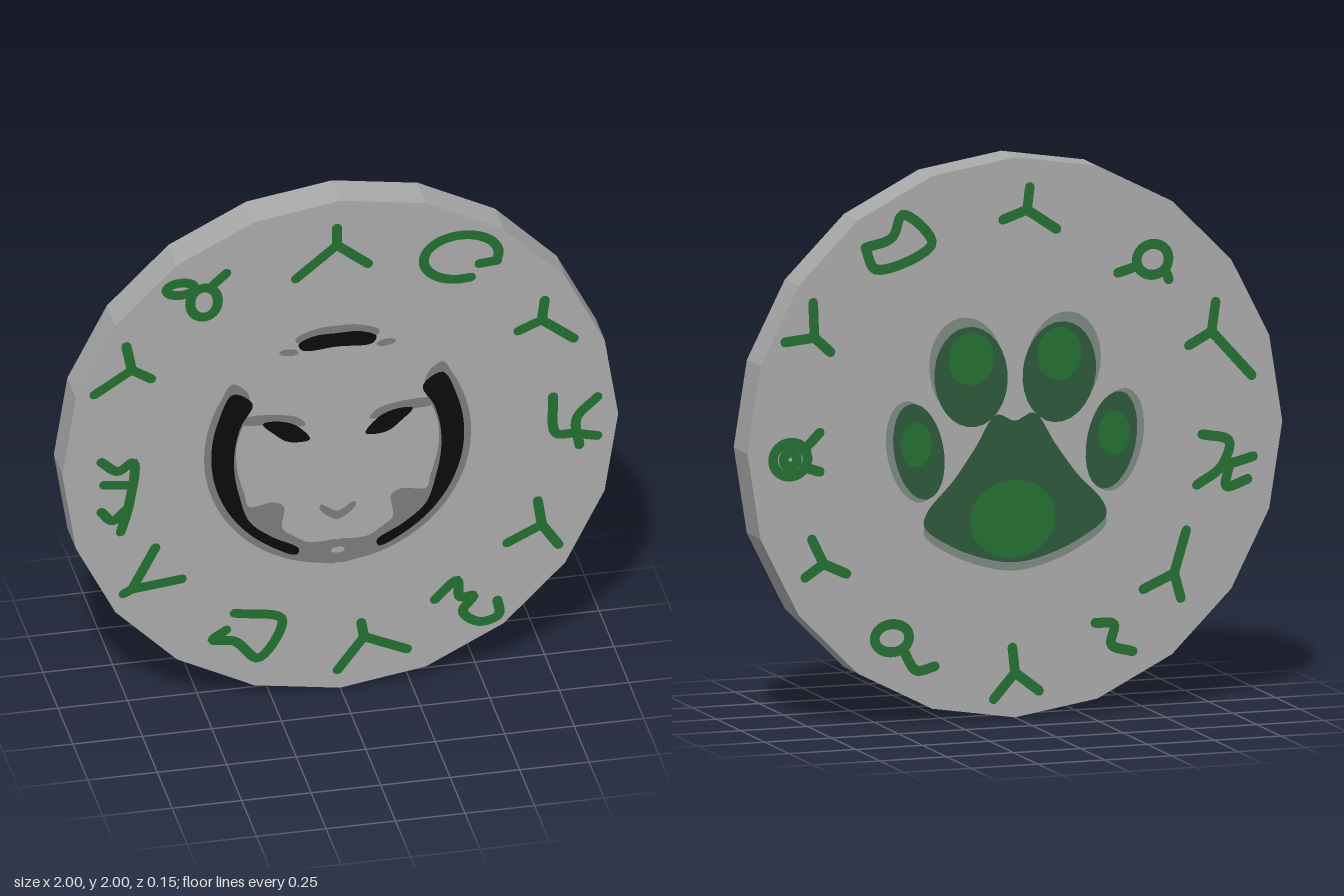
import * as THREE from 'three';
import { mergeGeometries } from 'three/addons/utils/BufferGeometryUtils.js';

const HALF = 0.0715; // half the thickness of the disc
const STROKE = 0.036; // width of the rim marks
const rad = THREE.MathUtils.degToRad;

const paint = (name, color) => {
  const m = new THREE.MeshStandardMaterial({ color, flatShading: true });
  m.name = name;
  return m;
};

// Points [x, y] smoothed into a curve
function smooth(pts, closed) {
  const v = pts.map(([x, y]) => new THREE.Vector3(x, y, 0));
  return new THREE.CatmullRomCurve3(v, closed, 'centripetal').getPoints(pts.length * 6);
}

// Outline mirrored about x = 0; the half outline starts and ends on that line
const flip = (pts) => pts.map(([x, y]) => [-x, y]);
const mirrored = (half) => half.concat(flip(half.slice(1, -1).reverse()));

// Ring sector with a round outer edge and a varying inner radius, one value per angle step
function sector(outer, start, step, inner) {
  const at = (r, i) => [r * Math.cos(rad(start + i * step)), r * Math.sin(rad(start + i * step))];
  return [...inner.map((r, i) => at(outer, i)), ...inner.map(at).reverse()];
}

// Flat filled plate
function plate(pts) {
  const s = smooth(pts, true).slice(0, -1).map((p) => new THREE.Vector2(p.x, p.y));
  return new THREE.ShapeGeometry(new THREE.Shape(s));
}

// Tilted oval plate
const oval = (x, y, rx, ry, tilt = 0) =>
  new THREE.CircleGeometry(1, 28).scale(rx, ry, 1).rotateZ(tilt).translate(x, y, 0);

// Flat ribbon with round ends along a path
function ribbon(pts) {
  const path = smooth(pts, false);
  const pos = [], index = [], r = STROKE / 2;
  path.forEach((p, i) => {
    const a = path[Math.max(i - 1, 0)], b = path[Math.min(i + 1, path.length - 1)];
    const d = b.clone().sub(a).normalize();
    pos.push(p.x - d.y * r, p.y + d.x * r, 0, p.x + d.y * r, p.y - d.x * r, 0);
    if (i) {
      const k = 2 * i;
      index.push(k - 2, k - 1, k, k, k - 1, k + 1);
    }
  });
  const g = new THREE.BufferGeometry();
  g.setAttribute('position', new THREE.Float32BufferAttribute(pos, 3));
  g.setIndex(index);
  g.computeVertexNormals();
  const ends = [path[0], path[path.length - 1]].map((p) => {
    const c = new THREE.CircleGeometry(r, 10).translate(p.x, p.y, 0);
    c.deleteAttribute('uv');
    return c;
  });
  return mergeGeometries([g, ...ends]);
}

// Stroke along an oval, angles in degrees
function arc(x, y, rx, ry, start = 0, sweep = 360) {
  return ribbon(Array.from({ length: 13 }, (_, i) => {
    const a = rad(start + (sweep * i) / 12);
    return [x + rx * Math.cos(a), y + ry * Math.sin(a)];
  }));
}

// Three-armed mark: a hub and three tips
const fork = (hub, ...tips) => mergeGeometries(tips.map((t) => ribbon([hub, t])));

export function createModel() {
  const stone = paint('stone grey', 0xaaaaaa);
  const shade = paint('dark grey', 0x7c7c7c);
  const black = paint('black', 0x0a0a0a);
  const green = paint('green', 0x237030);
  const deep = paint('deep green', 0x2b583a);
  const pale = paint('pale green grey', 0x7e8a82);

  const medallion = new THREE.Group();
  medallion.name = 'medallion';
  medallion.position.y = 1;
  const group = (name, parent) => {
    const g = new THREE.Group();
    g.name = name;
    parent.add(g);
    return g;
  };
  // Places a plate on a face; higher layers lie further out
  const add = (face, name, geometry, material, layer = 1) => {
    const mesh = new THREE.Mesh(geometry, material);
    mesh.name = name;
    mesh.position.z = HALF + layer * 0.0015;
    face.add(mesh);
  };
  const mark = (face, ...strokes) => add(face, 'rimMark', mergeGeometries(strokes), green);

  const disc = new THREE.Mesh(new THREE.CylinderGeometry(1, 1, HALF * 2, 20).rotateX(Math.PI / 2), stone);
  disc.name = 'disc';
  medallion.add(disc);
  const front = group('frontFace', medallion);
  const back = group('backFace', medallion);
  back.rotation.y = Math.PI;

  // Forked marks on the front rim
  mark(front, fork([-.012, .82], [-.012, .89], [-.16, .7], [.1, .73]));
  mark(front, fork([.725, .42], [.735, .5], [.64, .385], [.84, .33]));
  mark(front, fork([.725, -.42], [.71, -.32], [.6, -.48], [.785, -.51]));
  mark(front, fork([.085, -.8], [.075, -.74], [-.01, -.925], [.24, -.87]));
  mark(front, fork([-.75, -.5], [-.665, -.34], [-.78, -.515], [-.57, -.48]));
  mark(front, fork([-.75, .4], [-.77, .5], [-.68, .355], [-.885, .315]));
  // Curled marks on the front rim
  mark(front, arc(.435, .715, .135, .09, -75, -305), ribbon([[.565, .685], [.5, .68]]));
  mark(front, ribbon([[.765, .1], [.775, -.05], [.84, -.06], [.925, -.08]]), ribbon([[.925, .08], [.85, 0], [.86, -.11]]));
  mark(front, ribbon([[.34, -.68], [.42, -.61], [.43, -.68], [.48, -.68], [.44, -.74], [.5, -.79], [.57, -.77], [.565, -.71]]));
  mark(front, ribbon([[-.38, -.645], [-.21, -.69], [-.295, -.84], [-.38, -.76], [-.46, -.745], [-.41, -.71]]));
  mark(front, ribbon([[-.86, .035], [-.8, -.01], [-.745, .02], [-.76, -.15], [-.79, -.26]]),
    ribbon([[-.85, -.06], [-.77, -.07]]), ribbon([[-.86, -.17], [-.82, -.21], [-.77, -.17]]));
  mark(front, arc(-.575, .71, .05, .025), arc(-.49, .645, .05, .06), ribbon([[-.46, .71], [-.41, .755]]));

  // Forked marks on the back rim
  mark(back, fork([.045, .81], [.055, .89], [-.045, .78], [.155, .735]));
  mark(back, fork([.735, .335], [.75, .44], [.65, .29], [.885, .17]));
  mark(back, fork([.595, -.52], [.64, -.37], [.62, -.61], [.48, -.57]));
  mark(back, fork([0, -.84], [-.01, -.75], [-.08, -.93], [.09, -.91]));
  mark(back, fork([-.716, -.41], [-.76, -.32], [-.785, -.455], [-.63, -.45]));
  mark(back, fork([-.75, .4], [-.755, .525], [-.86, .39], [-.69, .345]));
  // Curled marks on the back rim
  mark(back, ribbon([[-.56, .71], [-.52, .63], [-.31, .71], [-.42, .82], [-.46, .74], [-.56, .71]]));
  mark(back, arc(.515, .605, .06, .055), ribbon([[.385, .565], [.46, .585]]), ribbon([[.56, .57], [.575, .53]]));
  mark(back, ribbon([[.7, -.03], [.8, -.06], [.77, -.15], [.68, -.21]]),
    ribbon([[.77, -.15], [.89, -.12]]), ribbon([[.8, -.15], [.79, -.22], [.87, -.2]]));
  mark(back, ribbon([[.3, -.68], [.37, -.69], [.36, -.76], [.44, -.79]]));
  mark(back, arc(-.46, -.69, .065, .05), ribbon([[-.42, -.73], [-.37, -.81], [-.3, -.8]]));
  mark(back, arc(-.84, -.03, .065, .06), arc(-.84, -.03, .025, .025),
    ribbon([[-.79, 0], [-.73, .06]]), ribbon([[-.79, -.06], [-.73, -.08]]));

  // Mask on the front
  const mask = group('mask', front);
  mask.position.x = -0.01;
  const band = sector(.48, 142, 8,
    [.41, .363, .36, .362, .365, .365, .366, .367, .372, .385, .31, .3, .375, .388, .4, .393, .39]);
  const crescent = sector(.455, 146, 15, [.369, .368, .371, .378, .392, .42, .42, .43]);
  const brow = [[-.34, .15], [-.15, .135], [-.115, .095], [-.27, .115], [-.34, .125]];
  const eye = [[-.27, .12], [-.22, .125], [-.15, .1], [-.1, .037], [-.175, .035], [-.23, .075]];
  const nose = [[0, -.27], [-.06, -.238], [-.065, -.255], [0, -.305]];
  const crest = [[0, .49], [-.075, .485], [-.15, .455], [-.145, .435], [0, .44]];
  const crestBar = [[0, .46], [-.085, .457], [-.14, .43], [-.125, .403], [0, .405]];
  add(mask, 'nose', plate(mirrored(nose)), shade);
  add(mask, 'crest', plate(mirrored(crest)), shade);
  add(mask, 'crestBar', plate(mirrored(crestBar)), black, 2);
  add(mask, 'chinSpot', oval(0, -.43, .025, .012), stone, 2);
  for (const s of [-1, 1]) {
    const side = (pts) => plate(s < 0 ? pts : flip(pts));
    add(mask, 'cheekBand', side(band), shade);
    add(mask, 'crescent', side(crescent), black, 3);
    add(mask, 'brow', side(brow), shade, 2);
    add(mask, 'eye', side(eye), black, 3);
    add(mask, 'crestTip', oval(s * .175, .4, .035, .014, s * .1), shade);
  }

  // Paw on the back
  const paw = group('paw', back);
  const pad = mirrored([[0, .06], [-.07, .085], [-.15, -.03], [-.23, -.14], [-.33, -.25],
    [-.34, -.3], [-.24, -.375], [-.1, -.43], [0, -.445]]);
  add(paw, 'padEdge', plate(pad.map(([x, y]) => [x, y - .03])), pale);
  add(paw, 'pad', plate(pad), deep, 2);
  add(paw, 'padCentre', oval(-.01, -.29, .16, .14), green, 3);
  for (const s of [-1, 1]) {
    add(paw, 'innerToeEdge', oval(s * .18, .255, .14, .185, s * -.15), pale);
    add(paw, 'innerToe', oval(s * .165, .225, .137, .18, s * -.1), deep, 2);
    add(paw, 'innerToeCentre', oval(s * .165, .29, .085, .095), green, 3);
    add(paw, 'outerToeEdge', oval(s * .38, -.03, .098, .185, s * -.2), pale);
    add(paw, 'outerToe', oval(s * .36, -.03, .092, .175, s * -.2), deep, 2);
    add(paw, 'outerToeCentre', oval(s * .37, -.005, .06, .08), green, 3);
  }

  const model = new THREE.Group();
  model.add(medallion);
  return model;
}
